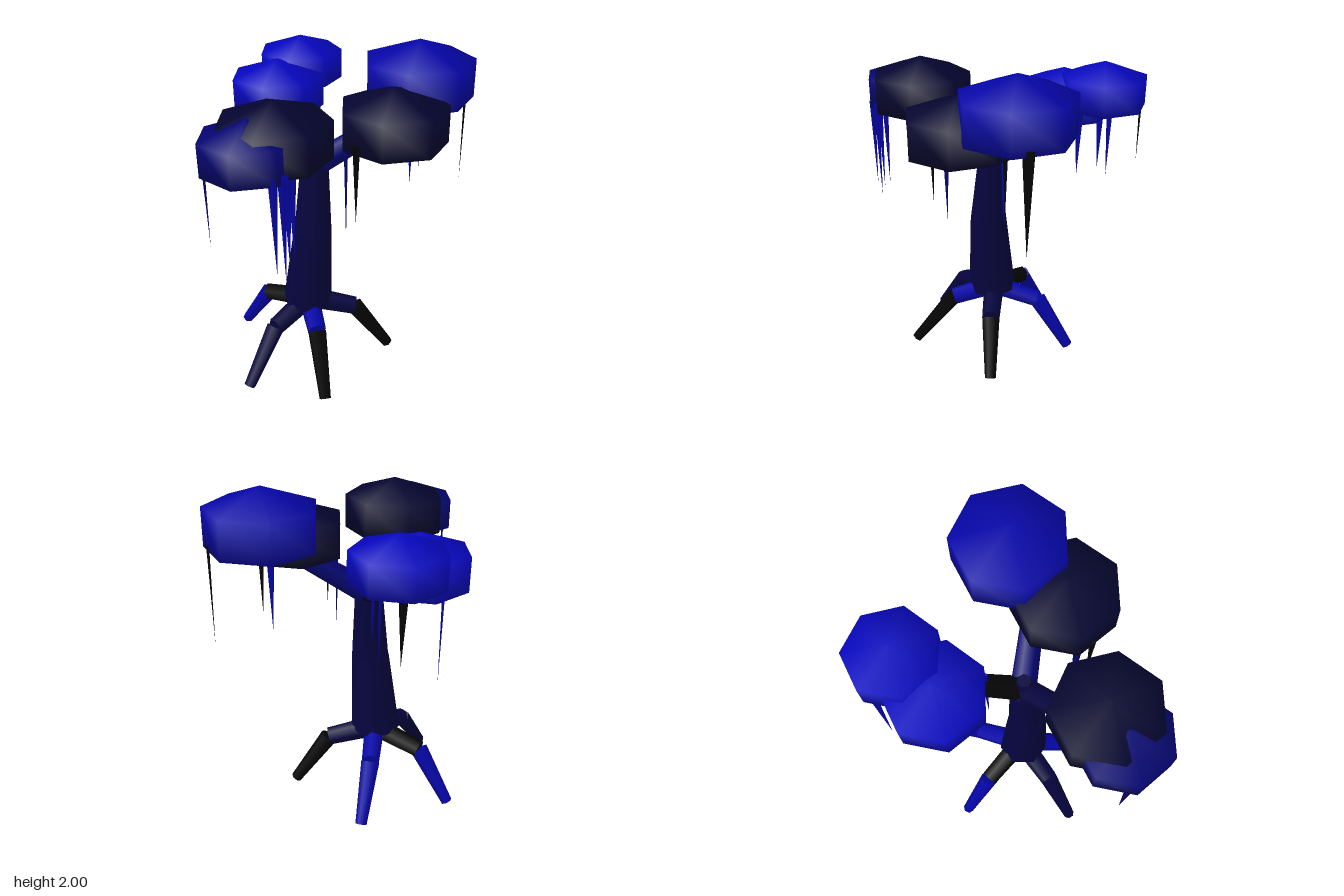
import * as THREE from 'three';

const mat = (name, color) => {
  const m = new THREE.MeshStandardMaterial({ color });
  m.name = name;
  return m;
};

export function createModel() {
  const bright = mat('brightBlue', 0x0606c0);
  const medium = mat('mediumBlue', 0x0505a8);
  const deep = mat('deepBlue', 0x040470);
  const navy = mat('navy', 0x05043e);
  const dusk = mat('darkNavy', 0x040430);
  const black = mat('charcoal', 0x050505);

  const tree = new THREE.Group();
  tree.name = 'tree';
  const up = new THREE.Vector3(0, 1, 0);

  // Tapered limb between two points
  function limb(parent, name, from, to, r0, r1, material, sides = 7) {
    const a = new THREE.Vector3(...from);
    const b = new THREE.Vector3(...to);
    const dir = b.clone().sub(a);
    const mesh = new THREE.Mesh(new THREE.CylinderGeometry(r1, r0, dir.length(), sides), material);
    mesh.position.copy(a).add(b).multiplyScalar(0.5);
    mesh.quaternion.setFromUnitVectors(up, dir.normalize());
    mesh.name = name;
    parent.add(mesh);
  }

  // Trunk in two leaning sections, plus the crotch where the branches meet
  const trunk = new THREE.Group();
  trunk.name = 'trunk';
  limb(trunk, 'lowerTrunk', [-0.255, 0.4, 0.042], [-0.212, 0.91, 0.06], 0.152, 0.114, navy);
  limb(trunk, 'upperTrunk', [-0.212, 0.89, 0.06], [-0.195, 1.32, 0.036], 0.114, 0.083, navy);
  limb(trunk, 'trunkTip', [-0.195, 1.3, 0.036], [-0.19, 1.43, 0.035], 0.083, 0.04, navy);
  tree.add(trunk);

  // Main branches
  const fork = [-0.195, 1.32, 0.03];
  limb(tree, 'leftBranch', fork, [0.26, 1.6, 0.01], 0.075, 0.06, deep);
  limb(tree, 'backBranch', fork, [-0.34, 1.58, -0.44], 0.07, 0.055, black);
  limb(tree, 'frontBranch', fork, [-0.41, 1.58, 0.45], 0.07, 0.055, navy);

  // Stilt roots: knee, foot, upper colour, lower colour
  const roots = [
    [[0.04, 0.33, 0.02], [0.256, 0.022, 0.0], navy, black],
    [[-0.185, 0.33, 0.29], [-0.13, 0.022, 0.54], medium, black],
    [[-0.44, 0.33, 0.25], [-0.595, 0.022, 0.435], navy, navy],
    [[-0.52, 0.33, -0.13], [-0.695, 0.022, -0.255], black, medium],
    [[-0.21, 0.33, -0.26], [-0.15, 0.022, -0.468], medium, medium],
  ];
  for (const [knee, foot, upper, lower] of roots) {
    const root = new THREE.Group();
    root.name = 'root';
    limb(root, 'upperRoot', [-0.25, 0.4, 0.03], knee, 0.065, 0.055, upper, 6);
    limb(root, 'lowerRoot', knee, foot, 0.055, 0.034, lower, 6);
    tree.add(root);
  }

  // Seven-sided foliage pads: centre, rim radius, colour
  const pads = [
    [0.393, 1.78, -0.157, 0.319, medium],
    [0.244, 1.63, 0.167, 0.302, dusk],
    [-0.304, 1.72, -0.607, 0.253, bright],
    [-0.43, 1.63, -0.37, 0.274, bright],
    [-0.364, 1.675, 0.485, 0.298, dusk],
    [-0.478, 1.65, 0.595, 0.256, deep],
  ];
  const padGeometry = new THREE.SphereGeometry(1, 7, 3).rotateY(Math.PI);
  for (const [x, y, z, rim, material] of pads) {
    const pad = new THREE.Mesh(padGeometry, material);
    const r = rim / Math.sin(Math.PI / 3);
    pad.scale.set(r, r * 0.6, r);
    pad.position.set(x, y, z);
    pad.name = 'foliage';
    tree.add(pad);
  }

  // Hanging tapered strands: x, z, top, tip, half width in x and z, colour
  const strands = [
    [-0.695, 0.66, 1.6, 1.15, 0.008, 0.022, deep],
    [-0.345, 0.79, 1.6, 1.06, 0.024, 0.018, medium],
    [-0.305, 0.755, 1.6, 0.99, 0.022, 0.018, medium],
    [-0.285, 0.73, 1.6, 1.06, 0.024, 0.018, medium],
    [-0.265, 0.69, 1.6, 1.1, 0.024, 0.018, medium],
    [-0.01, 0.285, 1.58, 0.98, 0.012, 0.024, deep],
    [0.045, 0.355, 1.58, 1.12, 0.02, 0.018, black],
    [0.36, -0.085, 1.62, 1.14, 0.024, 0.016, medium],
    [0.41, -0.1, 1.65, 1.23, 0.018, 0.016, black],
    [0.675, -0.235, 1.7, 1.12, 0.008, 0.032, black],
    [-0.52, -0.66, 1.66, 1.1, 0.008, 0.024, medium],
    [-0.33, -0.595, 1.62, 1.23, 0.02, 0.024, medium],
    [-0.19, -0.47, 1.64, 1.23, 0.014, 0.026, medium],
    [-0.31, -0.825, 1.66, 1.29, 0.024, 0.008, black],
    [-0.25, -0.165, 1.58, 0.96, 0.014, 0.022, medium],
  ];
  for (const [x, z, top, tip, wx, wz, material] of strands) {
    const strand = new THREE.Mesh(new THREE.ConeGeometry(1, top - tip, 4), material);
    strand.scale.set(wx, 1, wz);
    strand.rotation.x = Math.PI;
    strand.position.set(x, (top + tip) / 2, z);
    strand.name = 'hangingStrand';
    tree.add(strand);
  }

  return tree;
}
